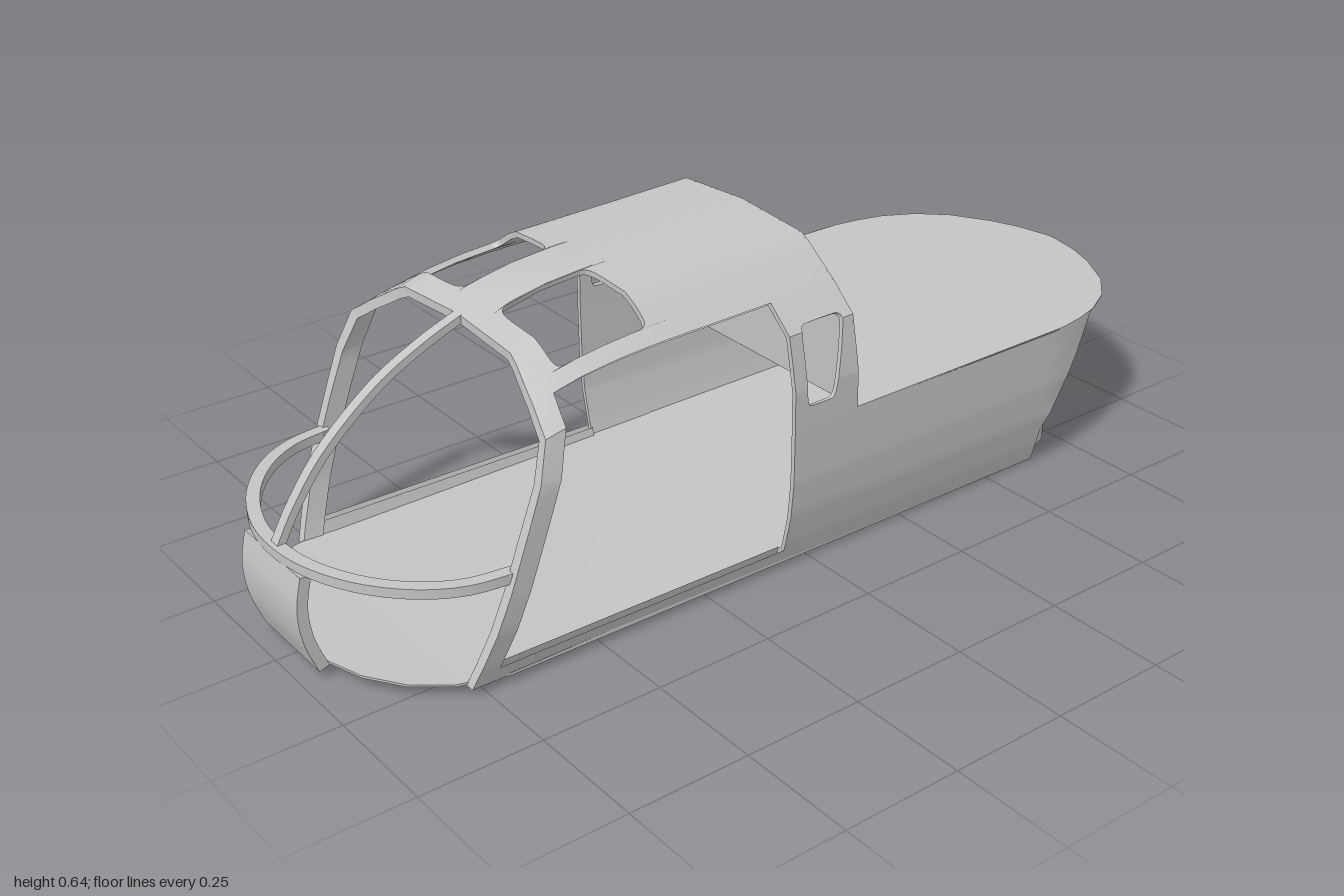
import * as THREE from 'three';
import { toCreasedNormals } from 'three/addons/utils/BufferGeometryUtils.js';

const lerp = THREE.MathUtils.lerp;
const clamp = THREE.MathUtils.clamp;

// half cross-section of the cabin, sill to crown: [half width, height]
const PROFILE = [[0.322, 0.003], [0.335, 0.05], [0.35, 0.12], [0.357, 0.2], [0.358, 0.32], [0.357, 0.4],
  [0.348, 0.45], [0.336, 0.51], [0.28, 0.56], [0.205, 0.615], [0.18, 0.628], [0, 0.64]];
// roof line and plan outlines: [x, value]
const ROOF = [[-0.8, 0.46], [-0.7, 0.52], [-0.58, 0.578], [-0.5, 0.605], [-0.42, 0.62], [-0.33, 0.628], [-0.1, 0.634], [0.085, 0.64]];
const DECK = [[0.085, 0.357], [0.66, 0.355], [0.72, 0.346], [0.78, 0.33], [0.85, 0.293], [0.91, 0.235], [0.96, 0.15], [0.985, 0.085], [1, 0.01]];
const FLOOR = [[-0.96, 0.02], [-0.95, 0.09], [-0.92, 0.18], [-0.87, 0.25], [-0.8, 0.3], [-0.7, 0.325], [0.55, 0.322],
  [0.64, 0.307], [0.72, 0.27], [0.79, 0.21], [0.84, 0.13], [0.862, 0.065], [0.87, 0.01]];

function table(t, x) {
  if (x <= t[0][0]) return t[0][1];
  for (let i = 1; i < t.length; i++) {
    if (x <= t[i][0]) return lerp(t[i - 1][1], t[i][1], (x - t[i - 1][0]) / (t[i][0] - t[i - 1][0]));
  }
  return t[t.length - 1][1];
}

const keel = (x) => 0.003 + (0.87 - x) * 0.0105;

// point on the cabin skin at station x and profile parameter p, inset by t
function skin(x, p, t = 0) {
  const i = Math.min(Math.floor(p), PROFILE.length - 2), f = p - i;
  let z = lerp(PROFILE[i][0], PROFILE[i + 1][0], f);
  let y = lerp(PROFILE[i][1], PROFILE[i + 1][1], f);
  if (y > 0.4) y = 0.4 + (y - 0.4) * (table(ROOF, x) - 0.4) / 0.24;
  y += Math.max(0, 1 - y / 0.32) * (keel(x) - 0.003);
  if (x > 0.66) z *= table(DECK, x) / 0.357;
  const k = t / 0.35;
  return new THREE.Vector3(x, y - Math.max(0, y - 0.3) * k, z * (1 - k));
}

// surface through a row of closed loops
function loft(loops) {
  const n = loops[0].length, pos = [], index = [];
  loops.forEach((l) => l.forEach((v) => pos.push(v.x, v.y, v.z)));
  for (let r = 0; r < loops.length - 1; r++) {
    for (let c = 0; c < n; c++) {
      const a = r * n + c, b = r * n + (c + 1) % n;
      index.push(a, a + n, b, b, a + n, b + n);
    }
  }
  const g = new THREE.BufferGeometry();
  g.setAttribute('position', new THREE.Float32BufferAttribute(pos, 3));
  g.setIndex(index);
  return toCreasedNormals(g, 0.6);
}

// piece of cabin wall between two edges, with thickness
function panel(p0, p1, left, right, t = 0.01, rows = 24, cols = 8) {
  const ps = [];
  for (let i = 0; i <= rows; i++) ps.push(lerp(p0, p1, (1 - Math.cos(Math.PI * i / rows)) / 2));
  for (let i = Math.ceil(p0 + 0.01); i < p1; i++) if (!ps.some((p) => Math.abs(p - i) < 1e-4)) ps.push(i);
  ps.sort((a, b) => a - b);
  return loft(ps.map((p) => {
    const outer = [], inner = [];
    for (let c = 0; c <= cols; c++) {
      const x = lerp(left(p), right(p), c / cols);
      outer.push(skin(x, p));
      inner.unshift(skin(x, p, t));
    }
    return outer.concat(inner);
  }));
}

// flat plate with a plan outline
function plate(outline, top, bottom) {
  return loft(outline.map(([x, w]) => [
    new THREE.Vector3(x, top(x), -w), new THREE.Vector3(x, top(x), w),
    new THREE.Vector3(x, bottom(x), w), new THREE.Vector3(x, bottom(x), -w)]));
}

// curved strip: a side-on path thickened inward and extruded across z
function strip(points, thick, z0, z1) {
  const curve = new THREE.SplineCurve(points.map(([x, y]) => new THREE.Vector2(x, y)));
  const out = curve.getPoints(24);
  const inn = out.map((v, i) => {
    const d = curve.getTangent(i / 24);
    return new THREE.Vector2(v.x + d.y * thick, v.y - d.x * thick);
  });
  const g = new THREE.ExtrudeGeometry(new THREE.Shape(out.concat(inn.reverse())), { depth: z1 - z0, bevelEnabled: false });
  g.translate(0, 0, z0);
  return toCreasedNormals(g, 0.6);
}

export function createModel() {
  const model = new THREE.Group();
  const grey = new THREE.MeshStandardMaterial({ color: 0xc4c4c4, side: THREE.DoubleSide });
  grey.name = 'grey';
  const add = (name, geometry, parent = model) => {
    const mesh = new THREE.Mesh(geometry, grey);
    mesh.name = name;
    parent.add(mesh);
    return mesh;
  };
  const at = (x) => () => x;

  // edge of the raked front hoop
  const hoop = (p) => {
    let x = -0.65;
    for (let i = 0; i < 12; i++) x = -0.78 + 0.364 * (skin(x, p).y - 0.02);
    return x;
  };
  const hoopBack = (p) => hoop(p) + 0.043;
  // rounded opening: 1 in the middle, falling to 0 at both ends
  const round = (p, p0, p1, n) => Math.pow(Math.max(0, 1 - Math.pow(Math.abs((2 * p - p0 - p1) / (p1 - p0)), n)), 1 / n);

  // quarter window behind the door
  const w0 = 4.5, w1 = 7.2;
  const winRight = (p) => lerp(0.03, 0.065, (p - w0) / (w1 - w0));
  const winMid = (p) => (winRight(p) - 0.04) / 2;
  const winHalf = (p) => (winRight(p) + 0.04) / 2 * round(p, w0, w1, 9);
  // roof window
  const s0 = 8.4, s1 = 10.67;
  const skyHalf = (p) => 0.1 * round(p, s0, s1, 12);
  // raked rear edge of the lower hull
  const rear = (p) => 0.63 + clamp((skin(0.3, p).y - 0.09) / 0.23, 0, 1) * 0.14;

  for (const side of [1, -1]) {
    const half = new THREE.Group();
    half.name = side > 0 ? 'leftHalf' : 'rightHalf';
    half.scale.z = side;
    model.add(half);

    add('frontHoop', panel(0, 11, hoop, hoopBack, 0.022, 40, 2), half);
    add('doorSill', panel(0, 0.7, at(-0.765), at(-0.07), 0.018, 6, 8), half);

    // cabin wall around the quarter window
    add('wallBelowWindow', panel(0, w0, at(-0.07), at(0.085)), half);
    add('wallBeforeWindow', panel(w0, w1, at(-0.07), (p) => winMid(p) - winHalf(p)), half);
    add('wallBehindWindow', panel(w0, w1, (p) => winMid(p) + winHalf(p), at(0.085)), half);
    add('wallAboveWindow', panel(w1, 11, at(-0.07), at(0.085)), half);
    add('lowerHull', panel(0, 4, at(0.085), rear, 0.008, 30, 16), half);

    // roof around its window
    add('roofEdge', panel(8, s0, hoopBack, at(-0.07), 0.012, 6, 16), half);
    add('roofFront', panel(s0, s1, hoop, (p) => -0.43 - skyHalf(p), 0.012), half);
    add('roofRear', panel(s0, s1, (p) => -0.43 + skyHalf(p), at(-0.07), 0.012, 24, 12), half);
    add('roofCrown', panel(s1, 11, hoop, at(-0.07), 0.012, 6, 16), half);

    // nose side frame and ring bolt
    const z = 0.1;
    add('noseFrame', strip([[-0.965, 0.02], [-0.99, 0.09], [-0.997, 0.16], [-0.985, 0.225]], 0.022, z - 0.005, z + 0.005), half);
    const bolt = add('ringBolt', new THREE.CylinderGeometry(0.008, 0.008, 0.02, 12), half);
    bolt.rotation.z = Math.PI / 2;
    bolt.position.set(-0.695, 0.232, 0.322);
  }

  // floor, thin at the nose and deep at the tail
  const floorBottom = (x) => keel(x) + (x < -0.7 ? (-0.7 - x) * 0.03 : 0);
  add('floor', plate(FLOOR, (x) => (x > -0.7 ? lerp(0.034, 0.03, (x + 0.7) / 1.57) : floorBottom(x) + 0.005), floorBottom));
  // closing sheet at the nose and tail tips is within the first and last loops
  add('rearDeck', plate(DECK, at(0.321), at(0.319)));

  // rear bulkhead
  const rows = [];
  for (let p = 4; p <= 11; p++) {
    const v = skin(0.085, p);
    rows.push([[0.084, -1], [0.084, 1], [0.087, 1], [0.087, -1]].map(([x, s]) => new THREE.Vector3(x, v.y, s * v.z)));
  }
  add('bulkhead', loft(rows));

  // nose ring
  const ringCurve = (d) => new THREE.SplineCurve([[-0.69, 0.347], [-0.78, 0.332], [-0.86, 0.285], [-0.93, 0.203], [-0.975, 0.1], [-0.988, 0],
    [-0.975, -0.1], [-0.93, -0.203], [-0.86, -0.285], [-0.78, -0.332], [-0.69, -0.347]]
    .map(([x, z]) => new THREE.Vector2(-0.69 + (x + 0.69) * (1 - d / 0.298), z * (1 - d / 0.347)))).getPoints(60);
  const ring = new THREE.ExtrudeGeometry(new THREE.Shape(ringCurve(0).concat(ringCurve(0.026).reverse())), { depth: 0.02, bevelEnabled: false });
  ring.rotateX(Math.PI / 2);
  ring.translate(0, 0.243, 0);
  add('noseRing', toCreasedNormals(ring, 0.6));

  // centre bar and lower nose panel
  add('centreBar', strip([[-0.985, 0.23], [-0.94, 0.31], [-0.87, 0.4], [-0.76, 0.492], [-0.66, 0.546], [-0.575, 0.58]], 0.016, -0.012, 0.012));
  add('nosePanel', strip([[-0.965, 0.02], [-0.99, 0.09], [-0.997, 0.16], [-0.985, 0.225]], 0.008, -0.105, 0.105));

  return model;
}
